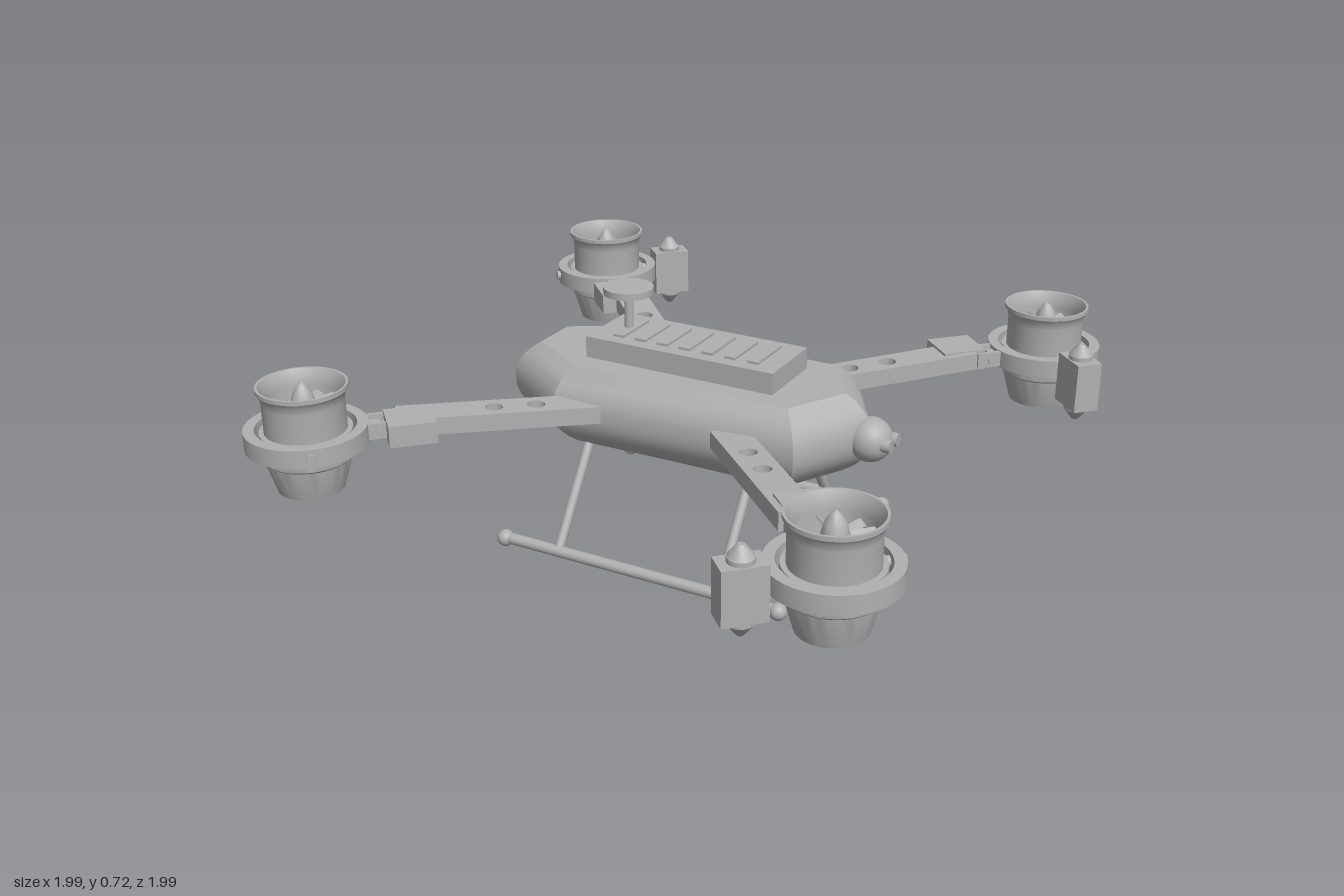
import * as THREE from 'three';
import { toCreasedNormals } from 'three/addons/utils/BufferGeometryUtils.js';

const grey = new THREE.MeshStandardMaterial({ color: 0xb0b0b0 });
grey.name = 'grey';

function add(parent, name, geometry, x = 0, y = 0, z = 0) {
  const mesh = new THREE.Mesh(geometry, grey);
  mesh.name = name;
  mesh.position.set(x, y, z);
  parent.add(mesh);
  return mesh;
}
const box = (w, h, d) => new THREE.BoxGeometry(w, h, d);
const cyl = (r, h, n = 20) => new THREE.CylinderGeometry(r, r, h, n);
const lathe = (pts, n = 40) =>
  toCreasedNormals(new THREE.LatheGeometry(pts.map(p => new THREE.Vector2(...p)), n), 0.5);

// Straight round bar between two points
function bar(parent, name, a, b, r) {
  const from = new THREE.Vector3(...a), to = new THREE.Vector3(...b);
  const dir = to.clone().sub(from);
  const mesh = add(parent, name, cyl(r, dir.length(), 16));
  mesh.position.copy(from).add(to).multiplyScalar(0.5);
  mesh.quaternion.setFromUnitVectors(new THREE.Vector3(0, 1, 0), dir.normalize());
}

// Hull: seven-sided outline, bulging at mid height
function hullGeometry() {
  const outer = [[-0.555, 0.1], [-0.33, 0.25], [0.41, 0.225], [0.54, 0], [0.41, -0.225], [-0.33, -0.25], [-0.555, -0.1]];
  const inner = [[-0.48, 0.07], [-0.29, 0.185], [0.365, 0.17], [0.46, 0], [0.365, -0.17], [-0.29, -0.185], [-0.48, -0.07]];
  const n = outer.length, rings = 12, pos = [], idx = [];
  for (let j = 0; j <= rings; j++) {
    const s = (j / rings) * 2 - 1, f = Math.pow(Math.abs(s), 2.4);
    for (let i = 0; i < n; i++) {
      const [ox, oz] = outer[i], [ix, iz] = inner[i];
      pos.push(ox + (ix - ox) * f, 0.415 + 0.115 * s, oz + (iz - oz) * f);
    }
  }
  for (let j = 0; j < rings; j++) {
    for (let i = 0; i < n; i++) {
      const a = j * n + i, b = j * n + (i + 1) % n;
      idx.push(a, b, b + n, a, b + n, a + n);
    }
  }
  const t = rings * n;
  for (let i = 1; i < n - 1; i++) idx.push(t, t + i, t + i + 1, 0, i + 1, i);
  const g = new THREE.BufferGeometry();
  g.setAttribute('position', new THREE.Float32BufferAttribute(pos, 3));
  g.setIndex(idx);
  return toCreasedNormals(g, 0.45);
}

// Flat arm with two lightening holes, along local x
function armGeometry(length) {
  const s = new THREE.Shape([[0, -0.05], [length, -0.05], [length, 0.05], [0, 0.05]].map(p => new THREE.Vector2(...p)));
  for (const x of [0.177, 0.295]) s.holes.push(new THREE.Path().absarc(x, 0, 0.025, 0, Math.PI * 2, true));
  const g = new THREE.ExtrudeGeometry(s, { depth: 0.05, bevelEnabled: false, curveSegments: 20 });
  return g.rotateX(Math.PI / 2).translate(0, 0.025, 0);
}

// Ducted fan standing on its own axis
function createFan() {
  const fan = new THREE.Group();
  fan.name = 'ductedFan';
  add(fan, 'duct', lathe([
    [0.078, 0.295], [0.09, 0.295], [0.116, 0.385], [0.121, 0.39], [0.121, 0.42], [0.11, 0.425],
    [0.11, 0.55], [0.113, 0.57], [0.122, 0.583], [0.122, 0.595], [0.115, 0.595],
    [0.104, 0.575], [0.1, 0.55], [0.1, 0.4], [0.078, 0.295]
  ]));
  add(fan, 'gimbalRing', lathe([
    [0.135, 0.423], [0.165, 0.423], [0.165, 0.475], [0.135, 0.475], [0.135, 0.423]
  ]));
  add(fan, 'collar', lathe([[0.1, 0.432], [0.124, 0.432], [0.124, 0.466], [0.1, 0.466]]));
  add(fan, 'hub', lathe([
    [0, 0.31], [0.02, 0.34], [0.032, 0.4], [0.034, 0.54], [0.026, 0.57], [0.012, 0.592], [0, 0.6]
  ], 24));
  const blade = box(0.074, 0.005, 0.024).rotateX(0.6);
  const vane = box(0.07, 0.05, 0.005);
  for (let i = 0; i < 12; i++) {
    const spoke = new THREE.Group();
    spoke.rotation.y = (i * Math.PI) / 6;
    add(spoke, 'fanBlade', blade, 0.065, 0.53);
    if (i % 3 === 0) add(spoke, 'statorVane', vane, 0.065, 0.43);
    fan.add(spoke);
  }
  // Pivot pins through the ring, across the arm
  for (const s of [-1, 1]) {
    add(fan, 'pivotPin', cyl(0.014, 0.065, 16).rotateX(Math.PI / 2), 0, 0.449, s * 0.142);
  }
  return fan;
}

// Tilt motor block with pointed caps above and below
function createTiltMotor() {
  const motor = new THREE.Group();
  motor.name = 'tiltMotor';
  add(motor, 'tiltMotorCase', box(0.075, 0.145, 0.115), 0, 0.4325);
  const cap = lathe([[0.034, 0], [0.034, 0.012], [0.016, 0.036], [0.009, 0.044], [0, 0.045]], 16);
  add(motor, 'upperCap', cap, 0, 0.505);
  add(motor, 'lowerCap', cap, 0, 0.36).rotation.x = Math.PI;
  return motor;
}

function createArm() {
  const arm = new THREE.Group();
  arm.name = 'armAssembly';
  add(arm, 'arm', armGeometry(0.56), 0.29, 0.425).rotation.z = 0.055;
  add(arm, 'foldingBlock', box(0.13, 0.062, 0.125), 0.817, 0.452, -0.032);
  // Hinge between block and gimbal ring
  for (const z of [-0.032, 0.032]) add(arm, 'hingeLug', box(0.085, 0.045, 0.014), 0.9, 0.45, z);
  add(arm, 'hingeKnuckle', box(0.04, 0.03, 0.028), 0.922, 0.45, 0);
  add(arm, 'hingePin', cyl(0.011, 0.088, 12).rotateX(Math.PI / 2), 0.9, 0.45, 0);
  const fan = createFan();
  fan.position.x = 1.09;
  arm.add(fan);
  const motor = createTiltMotor();
  motor.position.set(1.09, 0, 0.222);
  arm.add(motor);
  return arm;
}

export function createModel() {
  const drone = new THREE.Group();
  drone.name = 'drone';
  add(drone, 'hull', hullGeometry());

  // Raised deck with cooling ribs
  add(drone, 'topDeck', box(0.59, 0.065, 0.22), -0.005, 0.56);
  for (let i = 0; i < 7; i++) add(drone, 'coolingRib', box(0.034, 0.012, 0.145), -0.215 + i * 0.071, 0.594);

  // Disc antenna
  add(drone, 'antennaMast', cyl(0.013, 0.12), -0.222, 0.65);
  add(drone, 'antennaDisc', cyl(0.072, 0.02, 36), -0.222, 0.712);

  // Camera ball on the nose with a pair of lenses
  add(drone, 'cameraBall', new THREE.SphereGeometry(0.063, 28, 20), 0.535, 0.41);
  for (const z of [-0.025, 0.025]) {
    add(drone, 'cameraLens', cyl(0.019, 0.03).rotateZ(Math.PI / 2), 0.592, 0.412, z);
  }

  // Four arms in quarter turns
  for (let i = 0; i < 4; i++) {
    const arm = createArm();
    arm.rotation.y = -Math.PI / 4 + (i * Math.PI) / 2;
    drone.add(arm);
  }

  // Landing skids
  for (const s of [-1, 1]) {
    const z = s * 0.355;
    bar(drone, 'skid', [-0.44, 0.028, z], [0.44, 0.028, z], 0.017);
    for (const e of [-1, 1]) {
      add(drone, 'skidEnd', new THREE.SphereGeometry(0.025, 16, 12), e * 0.438, 0.026, z);
      bar(drone, 'skidStrut', [e * 0.257, 0.32, s * 0.16], [e * 0.257, 0.028, z], 0.014);
    }
  }
  return drone;
}
